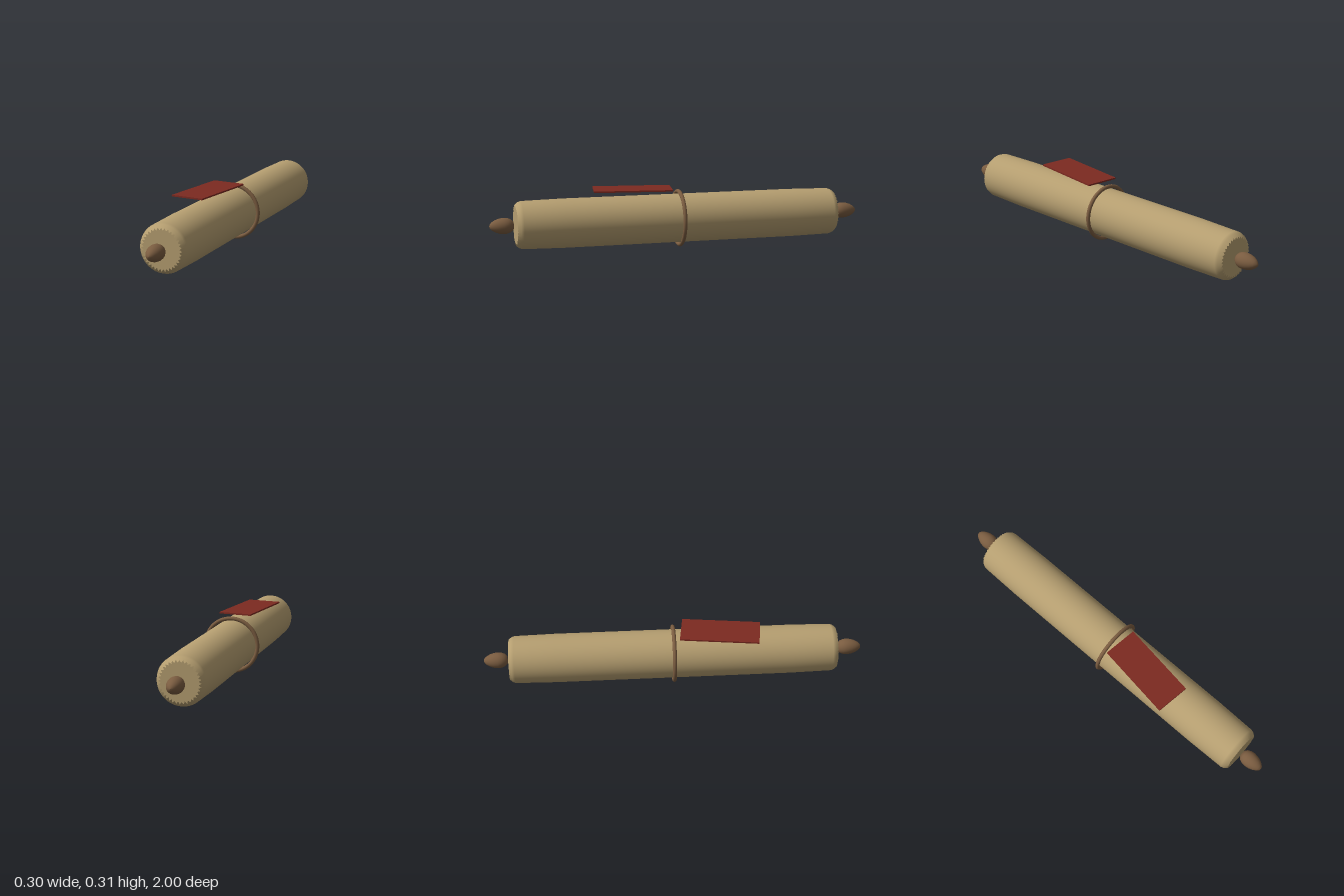
import * as THREE from 'three';

const AXIS_Y = 0.153; // height of the roll's axis
const SEGMENTS = 72;

function material(name, color) {
  const m = new THREE.MeshStandardMaterial({ color });
  m.name = name;
  return m;
}

function add(parent, name, geometry, mat) {
  const mesh = new THREE.Mesh(geometry, mat);
  mesh.name = name;
  parent.add(mesh);
  return mesh;
}

// Lathe turned so that its axis lies along z
function turned(profile, segments) {
  const points = profile.map(([r, z]) => new THREE.Vector2(r, z));
  return new THREE.LatheGeometry(points, segments).rotateX(Math.PI / 2);
}

// Pulls every second rim vertex inwards to give a gathered, toothed edge
function crimp(geometry, isRim) {
  const p = geometry.attributes.position;
  for (let k = 0; k < p.count; k++) {
    const i = isRim(k);
    if (i >= 0 && i % 2 === 1) {
      p.setXY(k, p.getX(k) * 0.88, p.getY(k) * 0.88);
    }
  }
  return geometry;
}

export function createModel() {
  const model = new THREE.Group();
  model.name = 'rolledScroll';
  const parchment = material('parchment', 0xb59e70);
  const wood = material('brown wood', 0x7a5c40);
  const red = material('dark red', 0x7c2a20);

  const roll = new THREE.Group();
  roll.name = 'roll';
  roll.position.y = AXIS_Y;
  model.add(roll);

  // Long paper roll, slightly slimmer towards its crimped ends
  const half = [[0.128, 0.62], [0.124, 0.835], [0.119, 0.85], [0.107, 0.865]];
  const profile = [...half.map(([r, z]) => [r, -z]).reverse(), ...half];
  const n = profile.length;
  const body = crimp(turned(profile, SEGMENTS), (k) =>
    k % n === 0 || k % n === n - 1 ? Math.floor(k / n) : -1);
  add(roll, 'paperRoll', body, parchment);

  // Toothed end faces and egg-shaped finials, front and back
  const egg = [[0, 0.874], [0.02, 0.876], [0.033, 0.889], [0.04, 0.906], [0.042, 0.925],
    [0.039, 0.948], [0.032, 0.969], [0.022, 0.986], [0.011, 0.997], [0, 1]];
  for (const [side, turn] of [['front', 0], ['back', Math.PI]]) {
    const end = new THREE.Group();
    end.name = side + 'End';
    end.rotation.y = turn;
    roll.add(end);
    const disc = crimp(new THREE.CircleGeometry(0.107, SEGMENTS), (k) => k - 1);
    add(end, side + 'EndFace', disc, parchment).position.z = 0.865;
    add(end, side + 'Finial', turned(egg, 32), wood);
  }

  // Loose ring around the middle
  add(roll, 'bandRing', new THREE.TorusGeometry(0.1415, 0.0105, 16, 72), wood);

  // Flat tag resting askew on top
  const tag = add(model, 'tag', new THREE.BoxGeometry(0.179, 0.008, 0.411), red);
  tag.position.set(-0.034, 0.312, 0.243);
  tag.rotation.y = -0.133;

  return model;
}
